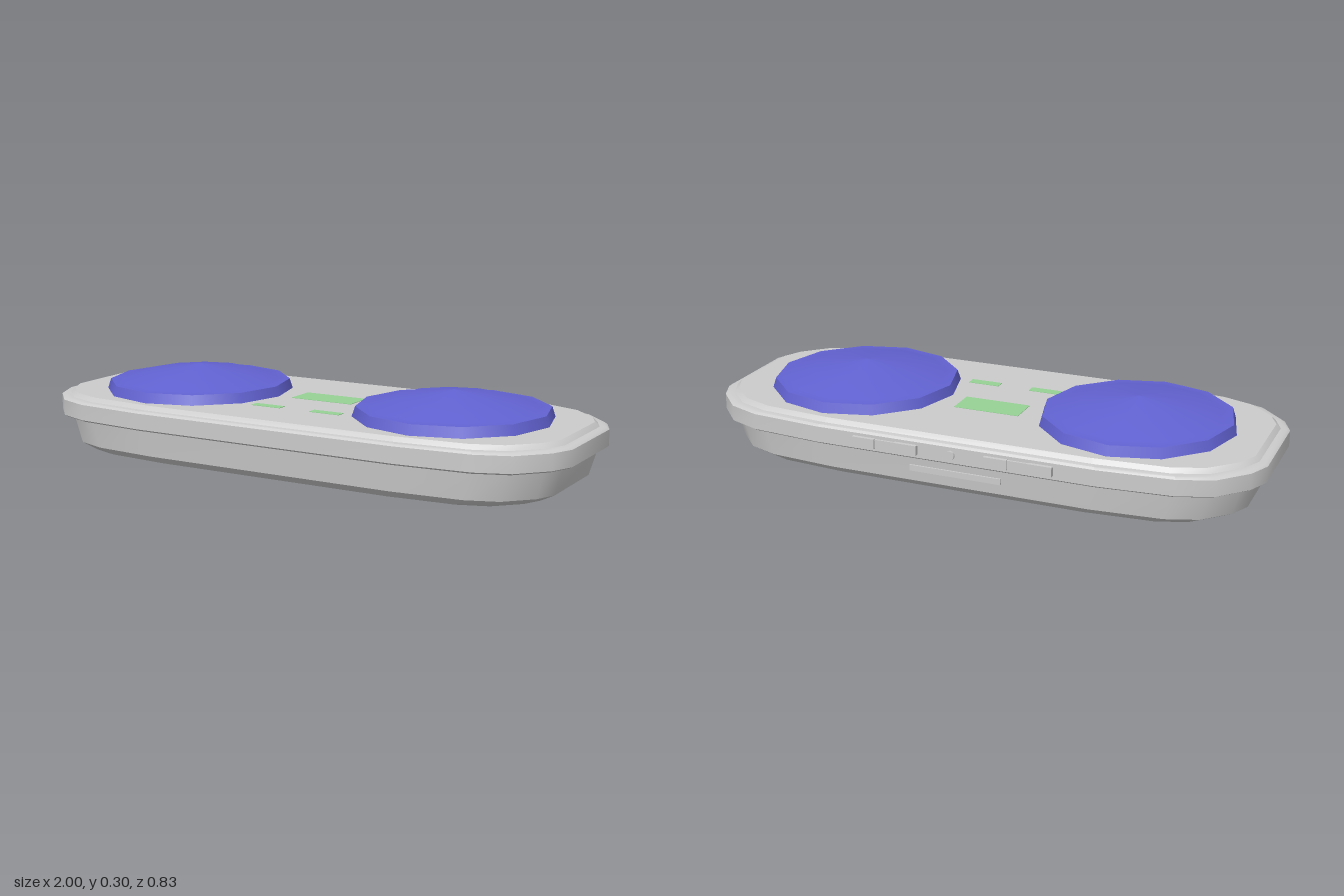
import * as THREE from 'three';
import { toCreasedNormals } from 'three/addons/utils/BufferGeometryUtils.js';

const grey = new THREE.MeshStandardMaterial({ color: 0xcccccc });
const blue = new THREE.MeshStandardMaterial({ color: 0x6262d2 });
const green = new THREE.MeshStandardMaterial({ color: 0x96d296 });

// Rounded oblong outline in unit half-widths, one corner mirrored to four
const corner = [[1, 0.41], [0.965, 0.6], [0.875, 0.83], [0.76, 0.935], [0.5, 0.99]];
const flipped = [...corner].reverse();
const outline = [
  ...corner,
  ...flipped.map(([x, z]) => [-x, z]),
  ...corner.map(([x, z]) => [-x, -z]),
  ...flipped.map(([x, z]) => [x, -z]),
];

// Closed solid from outline rings [halfX, halfZ, y], listed bottom to top
function loft(rings) {
  const n = outline.length;
  const positions = [];
  const index = [];
  for (const [hx, hz, y] of rings) {
    for (const [x, z] of outline) positions.push(x * hx, y, z * hz);
  }
  const bottom = rings.length * n;
  const last = (rings.length - 1) * n;
  positions.push(0, rings[0][2], 0, 0, rings[rings.length - 1][2], 0);
  for (let j = 0; j < n; j++) {
    const k = (j + 1) % n;
    for (let i = 0; i < last; i += n) {
      index.push(i + j, i + n + j, i + k, i + k, i + n + j, i + n + k);
    }
    index.push(bottom, j, k, bottom + 1, last + k, last + j);
  }
  const geometry = new THREE.BufferGeometry();
  geometry.setAttribute('position', new THREE.Float32BufferAttribute(positions, 3));
  geometry.setIndex(index);
  return toCreasedNormals(geometry, 0.65);
}

function add(parent, name, geometry, material, x = 0, y = 0, z = 0) {
  const mesh = new THREE.Mesh(geometry, material);
  mesh.name = name;
  mesh.position.set(x, y, z);
  parent.add(mesh);
  return mesh;
}

const lathe = (points) =>
  new THREE.LatheGeometry(points.map(([r, y]) => new THREE.Vector2(r, y)), 12);

export function createModel() {
  const model = new THREE.Group();
  model.name = 'twinPadConsole';

  // Tapered tray with a bevelled underside
  add(model, 'lowerTray', loft([
    [0.89, 0.345, 0], [0.94, 0.374, 0.026], [0.97, 0.386, 0.128],
  ]), grey);

  // Overhanging rim with a stepped top plate
  add(model, 'rim', loft([
    [0.99, 0.406, 0.122], [1, 0.414, 0.128], [1, 0.414, 0.184], [0.99, 0.406, 0.191],
    [0.97, 0.386, 0.192], [0.955, 0.374, 0.207],
  ]), grey);

  // Twin pads: a sloped collar and a shallow dome
  for (const side of [-1, 1]) {
    const pad = new THREE.Group();
    pad.name = side > 0 ? 'leftPad' : 'rightPad';
    pad.position.x = side * 0.515;
    add(pad, 'padCollar', lathe([[0.342, 0.205], [0.33, 0.242]]), blue);
    add(pad, 'padDome', lathe([[0.33, 0.242], [0.29, 0.244], [0.2, 0.27], [0, 0.3]]), blue);
    model.add(pad);

    // Small indicator beside the display
    add(model, 'indicator', new THREE.BoxGeometry(0.115, 0.002, 0.036), green,
      side * 0.117, 0.2075, 0.162);

    // Rear button pair on a thin backing strip
    add(model, 'buttonStrip', new THREE.BoxGeometry(0.24, 0.03, 0.02), grey,
      side * 0.24, 0.157, -0.407);
    for (const x of [0.162, 0.318]) {
      add(model, 'rearButton', new THREE.BoxGeometry(0.082, 0.034, 0.03), grey,
        side * x, 0.157, -0.408);
    }
  }

  // Central display
  add(model, 'display', new THREE.BoxGeometry(0.24, 0.002, 0.112), green, 0, 0.2075, -0.057);

  // Round rear socket
  add(model, 'rearSocket', new THREE.CylinderGeometry(0.016, 0.016, 0.02, 10), grey, 0, 0.157, -0.409)
    .rotation.x = Math.PI / 2;

  // Long bar on the back of the tray
  add(model, 'rearBar', new THREE.BoxGeometry(0.33, 0.021, 0.02), grey, 0, 0.076, -0.373);

  model.position.z = 0.004;
  return model;
}
